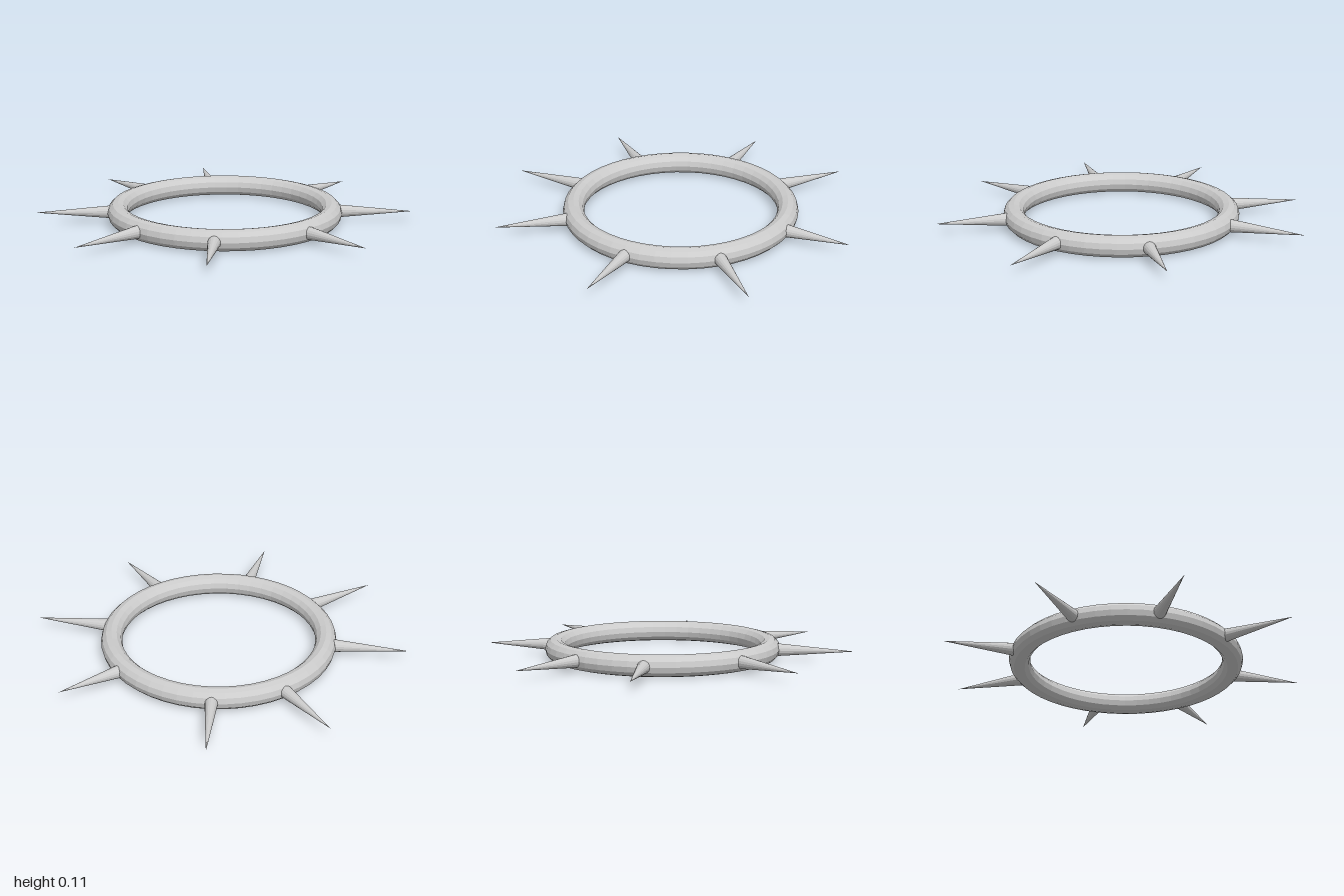
import * as THREE from 'three';

export function createModel() {
  const model = new THREE.Group();
  model.name = 'spikedRing';
  const material = new THREE.MeshStandardMaterial({ color: 0xcccccc, flatShading: true });

  const TUBE = 0.057, RING = 0.577, CENTER_Z = -0.03;
  const hub = new THREE.Group();
  hub.name = 'ringAssembly';
  hub.position.set(0, TUBE, CENTER_Z);
  model.add(hub);

  // Faceted ring lying flat
  const ring = new THREE.Mesh(new THREE.TorusGeometry(RING, TUBE, 12, 48).rotateX(Math.PI / 2), material);
  ring.name = 'ring';
  hub.add(ring);

  // Radial spikes, slightly uneven: [angle in degrees from +x toward +z, tip radius]
  const BASE = 0.6;
  const spikes = [
    [0, 1.0], [48.8, 1.01], [90, 1.03], [131.2, 1.02],
    [180, 1.0], [216.4, 1.02], [270, 0.97], [314.5, 1.015],
  ];
  spikes.forEach(([degrees, tip], i) => {
    const length = tip - BASE;
    // Cone laid along +x with its base sunk into the ring
    const geometry = new THREE.ConeGeometry(0.036, length, 16)
      .rotateZ(-Math.PI / 2)
      .translate(BASE + length / 2, 0, 0);
    const spike = new THREE.Mesh(geometry, material);
    spike.name = `spike${i + 1}`;
    spike.rotation.y = -THREE.MathUtils.degToRad(degrees);
    hub.add(spike);
  });

  return model;
}
